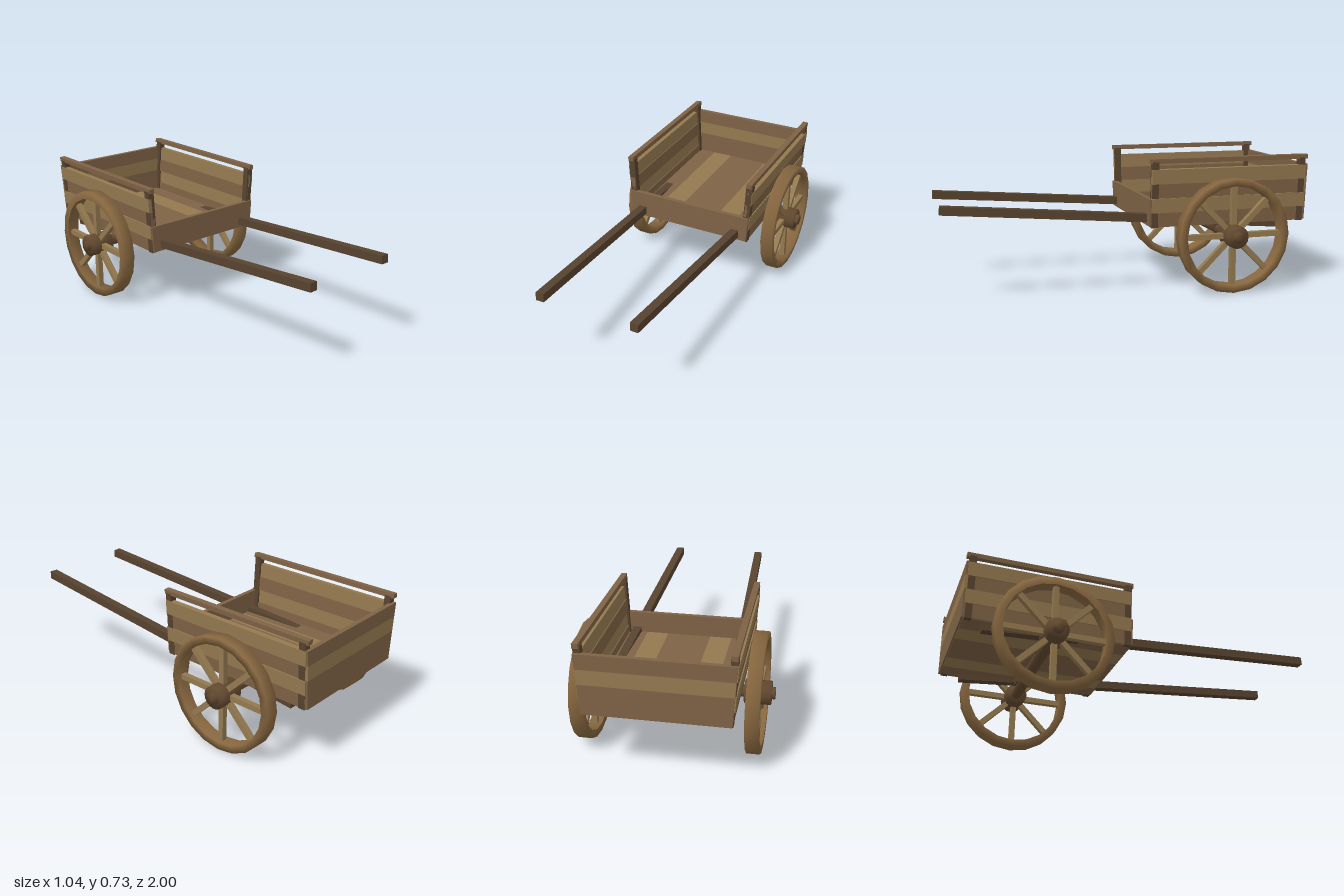
import * as THREE from 'three';

const mat = (color) => new THREE.MeshStandardMaterial({ color, roughness: 0.9 });
const LIGHT = mat(0x94794f), MID = mat(0x7e6245), DARK = mat(0x57432f), RIM = mat(0x86663f), HUB = mat(0x62492f);

function add(parent, name, geometry, material, x = 0, y = 0, z = 0) {
  const mesh = new THREE.Mesh(geometry, material);
  mesh.name = name;
  mesh.position.set(x, y, z);
  parent.add(mesh);
  return mesh;
}
const box = (w, h, d) => new THREE.BoxGeometry(w, h, d);

// The sides lean outwards: half width of the body at a height
const halfWidth = (y) => 0.36 + (y - 0.36) * 0.07;

// End board that widens with height
function endBoard(parent, name, y0, y1, z, material) {
  const a = halfWidth(y0), b = halfWidth(y1);
  const shape = new THREE.Shape([[-a, y0], [a, y0], [b, y1], [-b, y1]].map((p) => new THREE.Vector2(...p)));
  add(parent, name, new THREE.ExtrudeGeometry(shape, { depth: 0.025, bevelEnabled: false }), material, 0, 0, z);
}

// Round part turned about the x axis from [radius, x] points
function turned(points, segments) {
  const profile = points.map(([r, x]) => new THREE.Vector2(r, x));
  return new THREE.LatheGeometry(profile, segments).rotateZ(-Math.PI / 2);
}

function makeSide(s) {
  const side = new THREE.Group();
  side.name = s > 0 ? 'leftSide' : 'rightSide';
  side.position.set(s * 0.347, 0.36, 0);
  side.rotation.z = -s * 0.055;
  // Four planks, every other one standing proud of the posts
  const colors = [MID, LIGHT, MID, LIGHT];
  for (let i = 0; i < 4; i++) {
    add(side, 'sidePlank', box(0.028, 0.078, 0.89), colors[i], s * (i % 2 ? 0.007 : 0.001), 0.045 + i * 0.078, -0.545);
  }
  for (const z of [-0.118, -0.967]) add(side, 'sidePost', box(0.036, 0.355, 0.036), DARK, 0, 0.18, z);
  add(side, 'topRail', box(0.031, 0.025, 0.91), MID, 0, 0.362, -0.545);
  return side;
}

function makeWheel(s) {
  const wheel = new THREE.Group();
  wheel.name = s > 0 ? 'leftWheel' : 'rightWheel';
  wheel.position.set(s * 0.435, 0.314, -0.54);
  const w = 0.035, inner = 0.272, outer = 0.314;
  add(wheel, 'rim', turned([[inner, -w], [outer, -w], [outer, w], [inner, w], [inner, -w]], 20), RIM);
  add(wheel, 'hub', turned([[0, -0.068], [0.062, -0.068], [0.062, 0.068], [0, 0.068]], 16), HUB);
  for (let i = 0; i < 8; i++) {
    const spoke = new THREE.Group();
    spoke.rotation.x = (i * Math.PI) / 4;
    add(spoke, 'spoke', box(0.03, 0.24, 0.03), LIGHT, 0, 0.165, 0);
    wheel.add(spoke);
  }
  return wheel;
}

// Pulling shaft, running down and under the floor
function makeShaft(s) {
  const front = new THREE.Vector3(s * 0.262, 0.495, 1);
  const back = new THREE.Vector3(s * 0.316, 0.344, -0.89);
  const shaft = new THREE.Mesh(box(0.045, 0.045, front.distanceTo(back)), DARK);
  shaft.name = 'shaft';
  shaft.position.copy(front).add(back).multiplyScalar(0.5);
  shaft.lookAt(front);
  return shaft;
}

export function createModel() {
  const cart = new THREE.Group();
  cart.name = 'handCart';

  // Floor boards
  const floorColors = [MID, LIGHT, MID, MID, LIGHT, MID];
  floorColors.forEach((m, i) => add(cart, 'floorBoard', box(0.1185, 0.038, 0.89), m, (i - 2.5) * 0.1185, 0.382, -0.545));

  // Low front board and full back board
  endBoard(cart, 'frontBoard', 0.37, 0.517, -0.115, MID);
  [MID, MID, LIGHT, MID].forEach((m, i) => {
    endBoard(cart, 'backBoard', 0.367 + i * 0.0785, 0.367 + (i + 1) * 0.0785, -1, m);
  });

  // Axle
  add(cart, 'axle', turned([[0, -0.522], [0.031, -0.522], [0.031, 0.522], [0, 0.522]], 12), HUB, 0, 0.314, -0.54);

  for (const s of [1, -1]) {
    cart.add(makeSide(s), makeWheel(s), makeShaft(s));
    add(cart, 'axleBlock', box(0.066, 0.055, 0.08), DARK, s * 0.222, 0.342, -0.54);
  }
  return cart;
}
